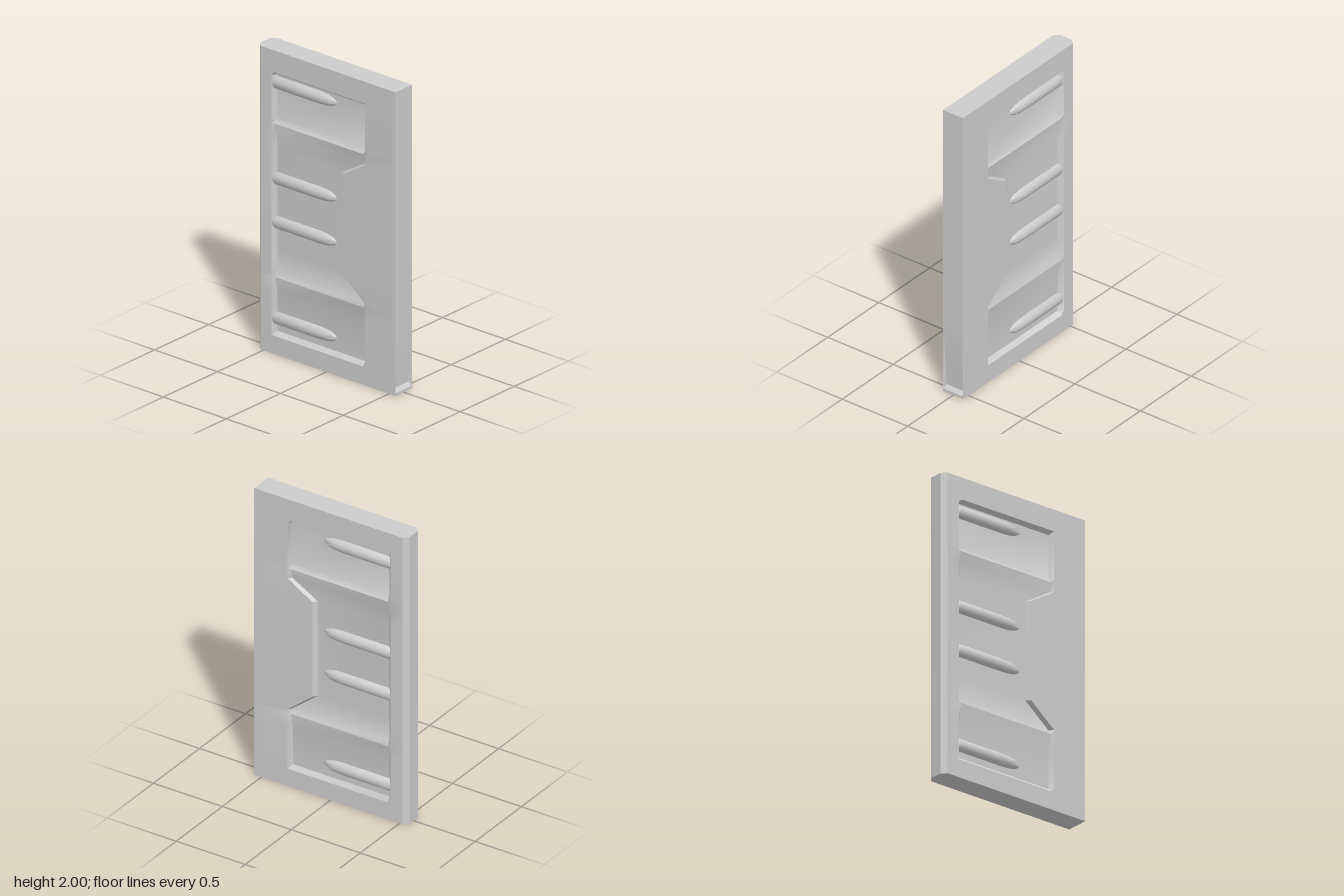
import * as THREE from 'three';
import { toCreasedNormals } from 'three/addons/utils/BufferGeometryUtils.js';

const S = 0.076;      // half thickness of the door
const FLOOR = 0.048;  // recessed panel surface
const RIDGE = 0.068;  // crest of the cross rails
const D = 0.553;      // half width

// One level of the door: height, recess surface x, front z of the recess, inset of the front edge
const rows = [
  [0, S, 0.31, 0],
  [0.02, S, 0.31, 0],
  [0.04, S, 0.31, 0.025],
  [0.12, S, 0.31, 0.02],
  [0.145, FLOOR, 0.31, 0.018],
  [0.40, FLOOR, 0.31, 0],
  [0.505, RIDGE, 0.31, 0],
  [0.535, FLOOR, 0.31, 0],
  [0.68, FLOOR, 0.13, 0],
  [1.34, FLOOR, 0.13, 0],
  [1.45, FLOOR + 0.008, 0.31, 0],
  [1.515, RIDGE, 0.31, 0],
  [1.54, FLOOR, 0.31, 0],
  [1.835, FLOOR, 0.31, 0],
  [1.855, S, 0.31, 0],
  [2, S, 0.31, 0],
];

// Closed outline of the door at one level, counter-clockwise from above
function ring([y, x, zf, inset]) {
  const half = [
    [0.07, D - inset], [S, D],               // front edge
    [S, zf], [x, zf - 0.02],                 // front wall of recess
    [x, -0.41], [S, -0.435],                 // back wall of recess
    [S, -D + 0.03], [S - 0.03, -D],          // chamfered back edge
  ];
  const other = half.map(([px, z]) => [-px, z]).reverse();
  return [...half, ...other].map(([px, z]) => [px, y, z]);
}

function doorGeometry() {
  const rings = rows.map(ring);
  const n = rings[0].length;
  const pos = rings.flat(2);
  const idx = [];
  for (let j = 0; j < rings.length - 1; j++) {
    for (let i = 0; i < n; i++) {
      const a = j * n + i, b = j * n + (i + 1) % n;
      idx.push(a, b, b + n, a, b + n, a + n);
    }
  }
  // Top and bottom caps
  const bottom = pos.length / 3, top = bottom + 1, last = (rings.length - 1) * n;
  pos.push(0, 0, 0, 0, 2, 0);
  for (let i = 0; i < n; i++) {
    const k = (i + 1) % n;
    idx.push(bottom, k, i, top, last + i, last + k);
  }
  const g = new THREE.BufferGeometry();
  g.setAttribute('position', new THREE.Float32BufferAttribute(pos, 3));
  g.setIndex(idx);
  return toCreasedNormals(g, 0.7);
}

// Bullet-shaped bar lying along z with its nose to the front
function barGeometry() {
  const profile = [
    [0, -0.435], [0.038, -0.435], [0.045, -0.42], [0.045, -0.08], [0.042, -0.02],
    [0.035, 0.02], [0.022, 0.05], [0.012, 0.064], [0, 0.07],
  ].map(([r, z]) => new THREE.Vector2(r, z));
  const g = new THREE.LatheGeometry(profile, 24);
  g.rotateX(Math.PI / 2);
  return toCreasedNormals(g, 0.7);
}

export function createModel() {
  const group = new THREE.Group();
  group.name = 'door';
  const material = new THREE.MeshStandardMaterial({ color: 0xcccccc });

  const panel = new THREE.Mesh(doorGeometry(), material);
  panel.name = 'doorPanel';
  group.add(panel);

  // Four bars on each face
  const bar = barGeometry();
  for (const side of [1, -1]) {
    for (const y of [0.23, 0.86, 1.15, 1.78]) {
      const mesh = new THREE.Mesh(bar, material);
      mesh.name = side > 0 ? 'leftBar' : 'rightBar';
      mesh.position.set(side * 0.034, y, 0);
      group.add(mesh);
    }
  }
  return group;
}
